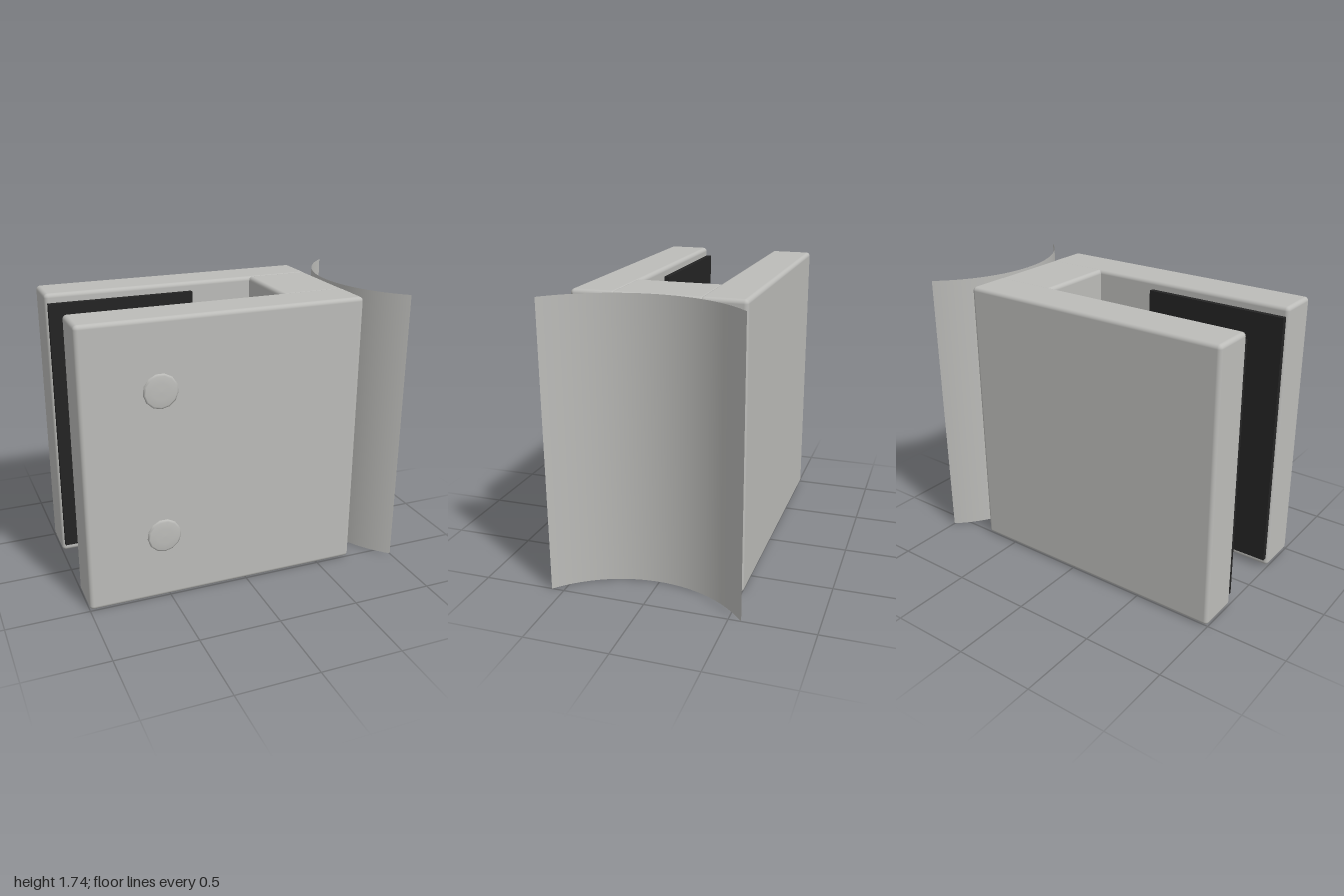
import * as THREE from 'three';
import { RoundedBoxGeometry } from 'three/addons/geometries/RoundedBoxGeometry.js';

export function createModel() {
  const model = new THREE.Group();
  model.name = 'glassClamp';

  const metal = new THREE.MeshStandardMaterial({ color: 0xbcbcb9 });
  metal.name = 'satin metal';
  const sheetMetal = new THREE.MeshStandardMaterial({ color: 0xbcbcb9, side: THREE.DoubleSide });
  sheetMetal.name = 'curved sheet metal';
  const rubber = new THREE.MeshStandardMaterial({ color: 0x242424 });
  rubber.name = 'black rubber';

  const add = (name, geometry, material, x, y, z) => {
    const mesh = new THREE.Mesh(geometry, material);
    mesh.name = name;
    mesh.position.set(x, y, z);
    model.add(mesh);
    return mesh;
  };

  // Box given by its minimum and maximum corners, with rounded edges
  const block = (name, min, max, radius, material) => {
    const size = max.map((v, i) => v - min[i]);
    const mid = max.map((v, i) => (v + min[i]) / 2);
    const geometry = radius
      ? new RoundedBoxGeometry(...size, 3, radius)
      : new THREE.BoxGeometry(...size);
    return add(name, geometry, material, ...mid);
  };

  // Two jaws joined by a bridge
  block('frontJaw', [-1, 0.005, 0.238], [0.725, 1.735, 0.507], 0.025, metal);
  block('backJaw', [-1, 0.005, -0.512], [0.725, 1.735, -0.243], 0.025, metal);
  block('bridge', [0.32, 0.006, -0.272], [0.724, 1.734, 0.268], 0.025, metal);

  // Gripping pads inside the jaws
  block('frontPad', [-0.985, 0.06, 0.208], [-0.08, 1.68, 0.24], 0, rubber);
  block('backPad', [-0.985, 0.06, -0.213], [-0.08, 1.68, -0.241], 0, rubber)
    .geometry = new THREE.BoxGeometry(0.905, 1.62, 0.03);

  // Domed screw heads on the front jaw
  const dome = [[0.103, -0.01], [0.103, 0.011], [0.092, 0.017], [0.05, 0.019], [0, 0.02]]
    .map(([r, h]) => new THREE.Vector2(r, h));
  for (const [name, y] of [['upperScrew', 1.32], ['lowerScrew', 0.42]]) {
    const geometry = new THREE.LatheGeometry(dome, 13).rotateX(Math.PI / 2);
    add(name, geometry, metal, -0.535, y, 0.506);
  }

  // Thin curved sheet behind the bridge, hollow towards +x
  const radius = 0.756;
  const half = Math.asin(0.575 / radius);
  const sheet = new THREE.CylinderGeometry(
    radius, radius, 1.738, 32, 1, true, -Math.PI / 2 - half, 2 * half);
  add('curvedSheet', sheet, sheetMetal, 0.736 + radius, 0.869, 0);

  return model;
}
